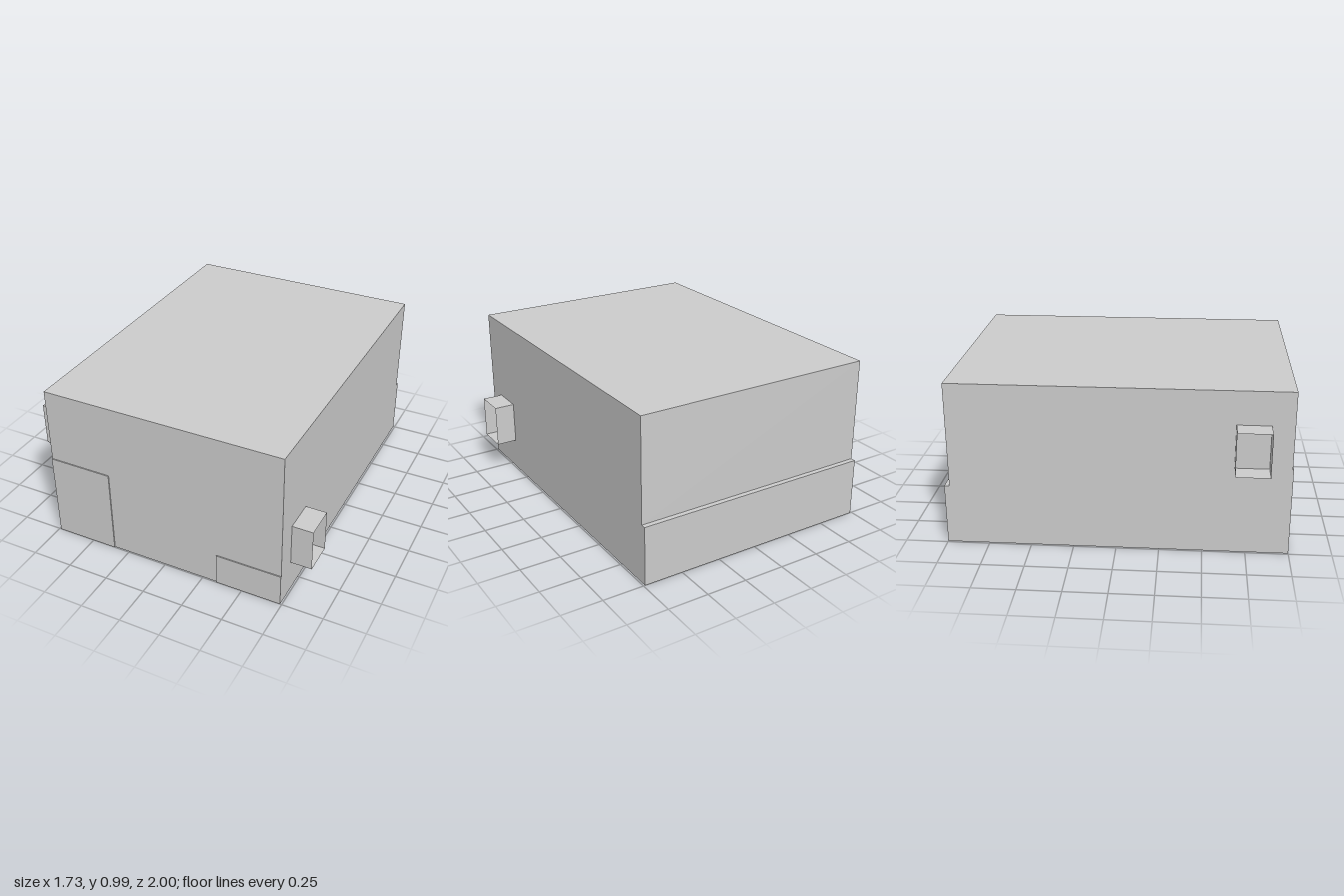
import * as THREE from 'three';

const grey = new THREE.MeshStandardMaterial({ color: 0xcccccc, flatShading: true });
const thin = new THREE.MeshStandardMaterial({ color: 0xcccccc, flatShading: true, side: THREE.DoubleSide });
const HALF = 0.74; // half width of the body

// Box given by its minimum and maximum corners
function box(name, min, max) {
  const size = max.map((v, i) => v - min[i]);
  const mesh = new THREE.Mesh(new THREE.BoxGeometry(...size), grey);
  mesh.position.set(...max.map((v, i) => (v + min[i]) / 2));
  mesh.name = name;
  return mesh;
}

// Thin-walled rectangular duct along x, open at its outer end
function duct(name, x0, x1, y0, y1, z0, z1) {
  const group = new THREE.Group();
  group.name = name;
  const length = x1 - x0, height = y1 - y0, depth = z1 - z0;
  const cx = (x0 + x1) / 2, cy = (y0 + y1) / 2, cz = (z0 + z1) / 2;
  for (const s of [-1, 1]) {
    const side = new THREE.Mesh(new THREE.PlaneGeometry(length, height), thin);
    side.position.set(cx, cy, cz + s * depth / 2);
    if (s < 0) side.rotation.y = Math.PI;
    side.name = 'ductSide';
    const cover = new THREE.Mesh(new THREE.PlaneGeometry(length, depth), thin);
    cover.position.set(cx, cy + s * height / 2, cz);
    cover.rotation.x = -s * Math.PI / 2;
    cover.name = s > 0 ? 'ductTop' : 'ductBottom';
    group.add(side, cover);
  }
  return group;
}

export function createModel() {
  const model = new THREE.Group();
  model.name = 'building';

  // Main block with the low ledge along the back, extruded across the width
  const profile = new THREE.Shape([
    [-0.994, 0], [1, 0], [1, 0.36], [0.97, 0.36], [0.97, 0.99], [-0.994, 0.99],
  ].map(([x, y]) => new THREE.Vector2(x, y)));
  const geometry = new THREE.ExtrudeGeometry(profile, { depth: 2 * HALF, bevelEnabled: false });
  geometry.translate(0, 0, -HALF).rotateY(Math.PI / 2);
  const body = new THREE.Mesh(geometry, grey);
  body.name = 'body';
  model.add(body);

  // Shallow panels on the front wall
  model.add(box('tallFrontPanel', [-HALF, 0, 0.98], [-0.35, 0.53, 1]));
  model.add(box('lowFrontPanel', [0.34, 0, 0.98], [HALF, 0.2, 1]));

  // Open ducts on the side walls
  model.add(duct('leftDuct', HALF, 0.867, 0.2, 0.46, 0.67, 0.865));
  model.add(duct('rightDuct', -0.867, -HALF, 0.53, 0.79, 0.67, 0.865));
  return model;
}
